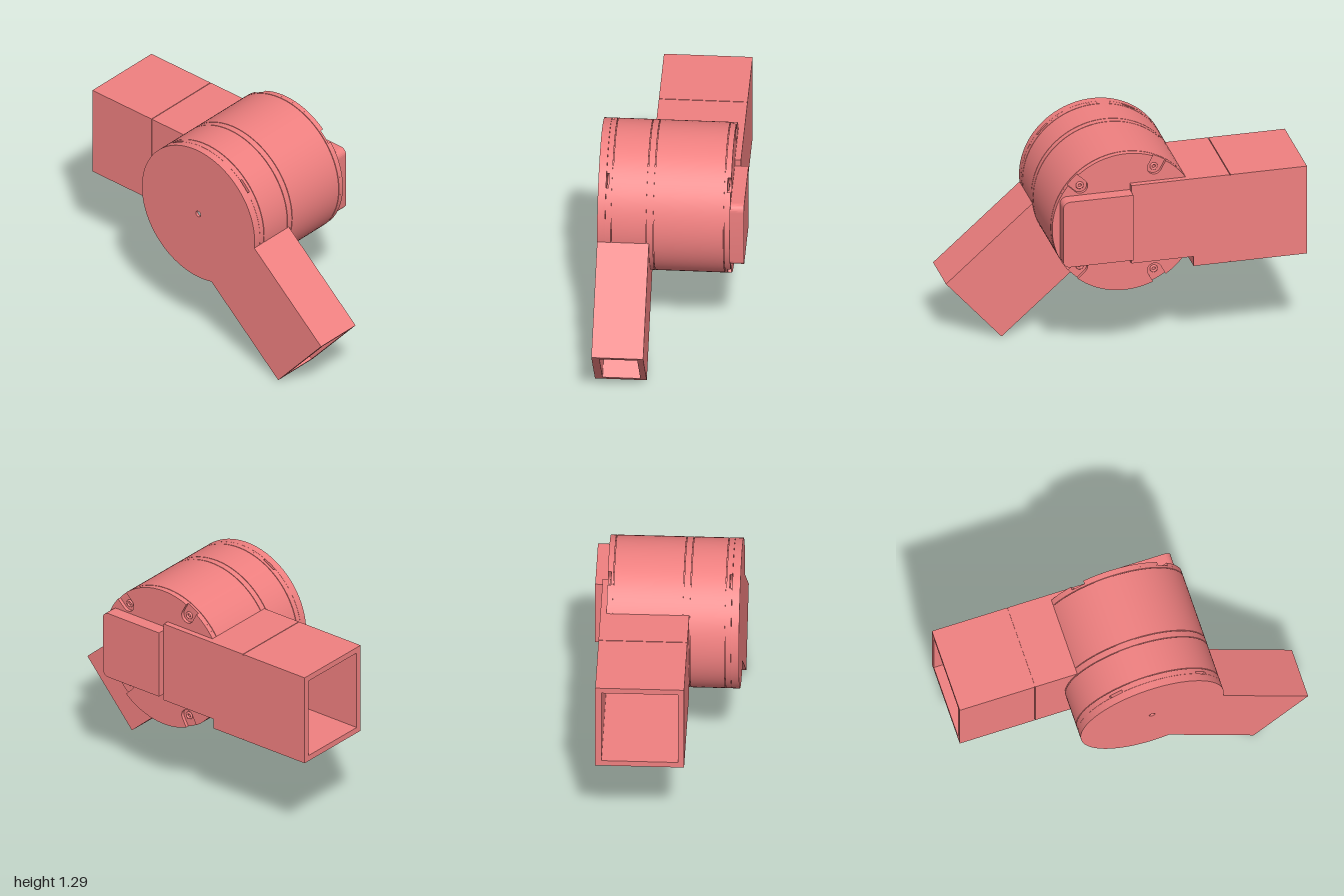
import * as THREE from 'three';
import { toCreasedNormals } from 'three/addons/utils/BufferGeometryUtils.js';

const CX = 0.057, CY = 0.87, R = 0.428;
const coral = new THREE.MeshStandardMaterial({ color: 0xf08080 });
const grey = new THREE.MeshStandardMaterial({ color: 0xcccccc });
const SCREW_ANGLES = [-118, -44, 44, 118].map(THREE.MathUtils.degToRad);

function add(parent, name, geometry, material = coral) {
  const mesh = new THREE.Mesh(geometry, material);
  mesh.name = name;
  parent.add(mesh);
  return mesh;
}

function box(parent, name, x0, x1, y0, y1, z0, z1) {
  const mesh = add(parent, name, new THREE.BoxGeometry(x1 - x0, y1 - y0, z1 - z0));
  mesh.position.set((x0 + x1) / 2, (y0 + y1) / 2, (z0 + z1) / 2);
  return mesh;
}

function extrude(shape, depth) {
  const g = new THREE.ExtrudeGeometry(shape, { depth, bevelEnabled: false, curveSegments: 64 });
  return toCreasedNormals(g, 0.5);
}

// Rectangle outline as a list of corners
function rect(u0, u1, v0, v1) {
  return [[u0, v0], [u1, v0], [u1, v1], [u0, v1]].map(([u, v]) => new THREE.Vector2(u, v));
}

// Hollow rectangular tube running along x; the section is in (-z, y)
function tube(parent, name, x0, x1, [y0, y1], [z0, z1], [wallY, wallBack, wallFront]) {
  const shape = new THREE.Shape(rect(-z1, -z0, y0, y1));
  shape.holes.push(new THREE.Path(
    rect(-z1 + wallFront, -z0 - wallBack, y0 + wallY, y1 - wallY)));
  const mesh = add(parent, name, extrude(shape, x1 - x0).rotateY(Math.PI / 2));
  mesh.position.x = x0;
  return mesh;
}

// Plain round band of the drum between two depths
function band(parent, name, z0, z1, r = R) {
  const g = new THREE.CylinderGeometry(r, r, z1 - z0, 96).rotateX(Math.PI / 2);
  add(parent, name, g).position.z = (z0 + z1) / 2;
}

// Disc outline with four U-shaped screw notches in its rim
function notchedDisc() {
  const pts = [], w = 0.042, rc = 0.365, delta = Math.asin(w / R);
  const polar = (r, a) => new THREE.Vector2(r * Math.cos(a), r * Math.sin(a));
  SCREW_ANGLES.forEach((a, i) => {
    pts.push(polar(R, a - delta));
    for (let k = 0; k <= 12; k++)
      pts.push(polar(rc, a).add(polar(w, a - Math.PI / 2 - k * Math.PI / 12)));
    const next = i < 3 ? SCREW_ANGLES[i + 1] : SCREW_ANGLES[0] + 2 * Math.PI;
    const span = next - a - 2 * delta;
    for (let k = 0; k < 24; k++) pts.push(polar(R, a + delta + span * k / 24));
  });
  return new THREE.Shape(pts);
}

function createDrum() {
  const drum = new THREE.Group();
  drum.name = 'drum';
  drum.position.set(CX, CY, 0);

  // Bands separated by fine seams around a slightly smaller core
  band(drum, 'drumCore', -0.318, 0.354, 0.42);
  const seams = [-0.305, 0.095, 0.135, 0.335], gap = 0.002;
  const edges = [-0.32 - gap, ...seams, 0.355 + gap];
  for (let i = 0; i < edges.length - 1; i++)
    band(drum, 'drumBand', edges[i] + gap, edges[i + 1] - gap);

  // Notched rims near both ends
  add(drum, 'backRim', extrude(notchedDisc(), 0.02)).position.z = -0.34;
  add(drum, 'frontRim', extrude(notchedDisc(), 0.014)).position.z = 0.355;

  // Front cover with a small axle hole
  const cover = new THREE.Shape().absarc(0, 0, R, 0, 2 * Math.PI);
  cover.holes.push(new THREE.Path().absarc(0, 0, 0.018, 0, 2 * Math.PI, true));
  add(drum, 'frontCover', extrude(cover, 0.045)).position.z = 0.37;
  const pin = new THREE.CylinderGeometry(0.018, 0.018, 0.03, 32).rotateX(Math.PI / 2);
  add(drum, 'axlePin', pin, grey).position.z = 0.385;

  // Screw heads in the back notches
  for (const a of SCREW_ANGLES) {
    const screw = add(drum, 'screwHead', new THREE.TorusGeometry(0.016, 0.007, 10, 24));
    screw.position.set(0.365 * Math.cos(a), 0.365 * Math.sin(a), -0.322);
  }
  return drum;
}

export function createModel() {
  const model = new THREE.Group();
  model.name = 'hingedTubeJoint';
  model.add(createDrum());

  // Horizontal square tube: open outer length, then the saddle meeting the drum
  const side = new THREE.Group();
  side.name = 'sideTube';
  model.add(side);
  const z = [-0.375, 0.13], walls = [0.035, 0.035, 0.035];
  tube(side, 'outerTube', -1, -0.552, [0.56, 1.11], z, walls);
  tube(side, 'saddle', -0.548, -0.335, [0.56, 1.11], z, walls);
  tube(side, 'seamLiner', -0.57, -0.53, [0.566, 1.104], [-0.375, 0.124], [0.029, 0.035, 0.029]);
  tube(side, 'saddleNeck', -0.335, -0.25, [0.62, 1.11], z, walls);
  box(side, 'saddleStep', -0.36, -0.335, 0.56, 0.655, z[0], z[1]);
  box(side, 'backPlate', -0.335, 0.03, 0.62, 1.11, -0.375, -0.338);

  // Back cover block, rounded on its outer corners
  const c = 0.04, [x0, x1, y0, y1] = [0.03, 0.44, 0.66, 1.07];
  const cover = new THREE.Shape();
  cover.moveTo(x0, y0).lineTo(x1 - c, y0);
  cover.absarc(x1 - c, y0 + c, c, -Math.PI / 2, 0);
  cover.absarc(x1 - c, y1 - c, c, 0, Math.PI / 2);
  cover.lineTo(x0, y1);
  add(model, 'backCover', extrude(cover, 0.08)).position.z = -0.418;

  // Hollow arm slanting down from the front of the drum
  const arm = new THREE.Group();
  arm.name = 'arm';
  arm.position.set(CX, CY, 0);
  arm.rotation.z = Math.atan2(-0.68, 0.77);
  tube(arm, 'armTube', 0.34, 1.027, [-0.246, 0.246], [0.12, 0.415], [0.035, 0.035, 0.045]);
  model.add(arm);

  return model;
}
